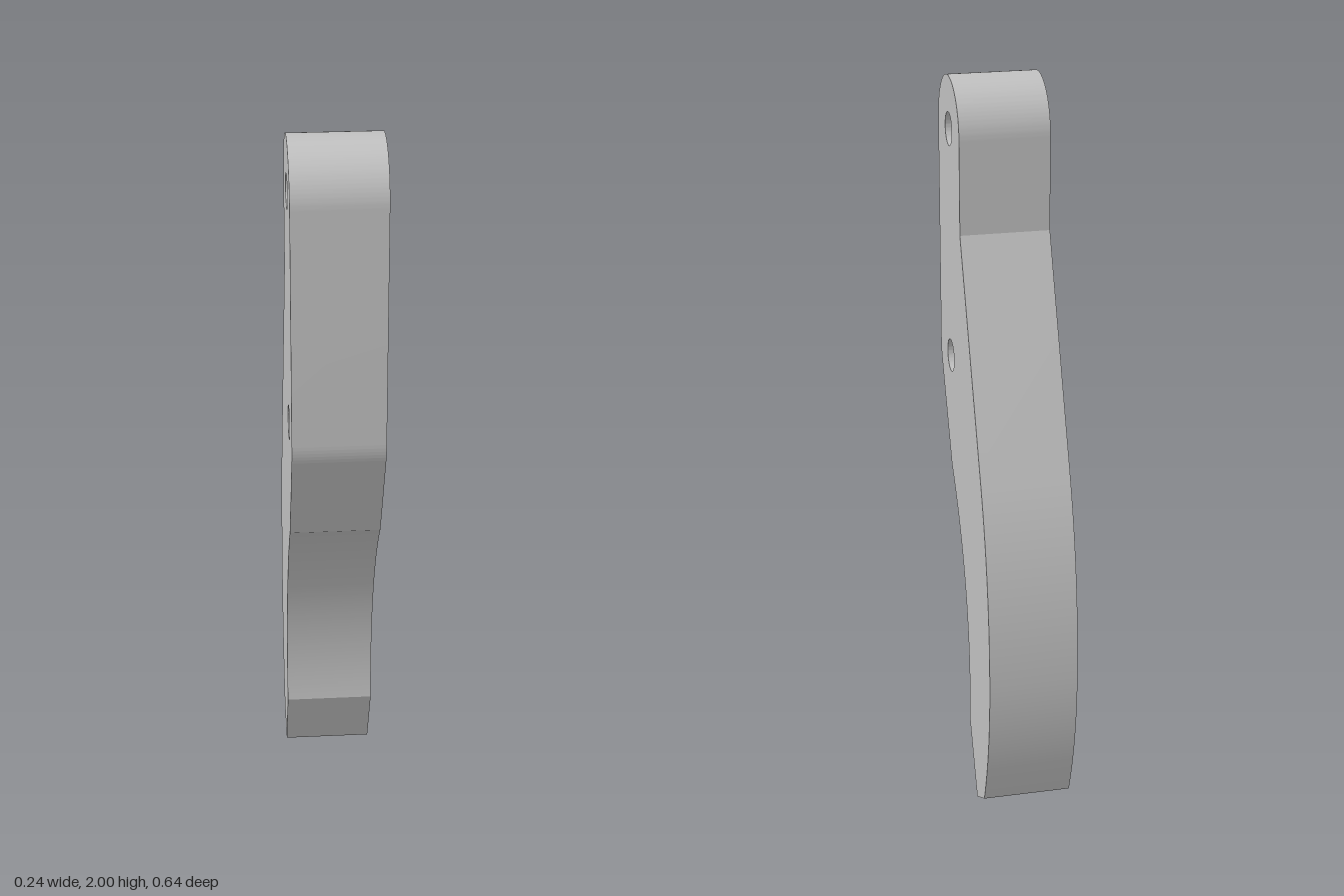
import * as THREE from 'three';
import { toCreasedNormals } from 'three/addons/utils/BufferGeometryUtils.js';

const WIDTH = 0.243;
const PIN_U = -0.178, TOP_PIN_Y = 1.858, LOW_PIN_Y = 1.222;
const HEAD_R = 0.142, HOLE_R = 0.045;

// Side outline: u runs towards the back (-z), v runs up
function bladeShape() {
  const s = new THREE.Shape();
  // rounded head, back to front
  s.moveTo(PIN_U + HEAD_R, TOP_PIN_Y);
  s.absarc(PIN_U, TOP_PIN_Y, HEAD_R, 0, Math.PI, false);
  // straight front edge, rounded corner around the lower pin
  s.lineTo(PIN_U - HEAD_R, LOW_PIN_Y);
  s.absarc(PIN_U, LOW_PIN_Y, HEAD_R, Math.PI, Math.PI * 1.14, false);
  s.lineTo(-0.18, 0.892);
  // hollow inner curve
  s.absarc(-0.847, 0.295, 0.896, Math.asin(0.597 / 0.896), -0.102, true);
  // chisel tip
  s.lineTo(0.142, 0);
  s.lineTo(0.24, 0.053);
  // bowed back edge
  s.quadraticCurveTo(0.319, 0.244, 0.319, 0.45);
  s.quadraticCurveTo(0.319, 0.747, 0.21, 1.01);
  s.lineTo(PIN_U + HEAD_R, 1.606);
  s.closePath();

  // pin holes
  for (const y of [TOP_PIN_Y, LOW_PIN_Y]) {
    const hole = new THREE.Path();
    hole.absarc(PIN_U, y, HOLE_R, 0, Math.PI * 2, true);
    s.holes.push(hole);
  }
  return s;
}

export function createModel() {
  const group = new THREE.Group();
  group.name = 'curvedShank';
  const steel = new THREE.MeshStandardMaterial({ color: 0xc0c0c0 });
  steel.name = 'grey steel';

  let geo = new THREE.ExtrudeGeometry(bladeShape(), {
    depth: WIDTH, bevelEnabled: false, curveSegments: 40,
  });
  geo.translate(0, 0, -WIDTH / 2);
  geo.rotateY(Math.PI / 2);
  geo = toCreasedNormals(geo, 0.2);

  const shank = new THREE.Mesh(geo, steel);
  shank.name = 'shankBody';
  group.add(shank);
  return group;
}
